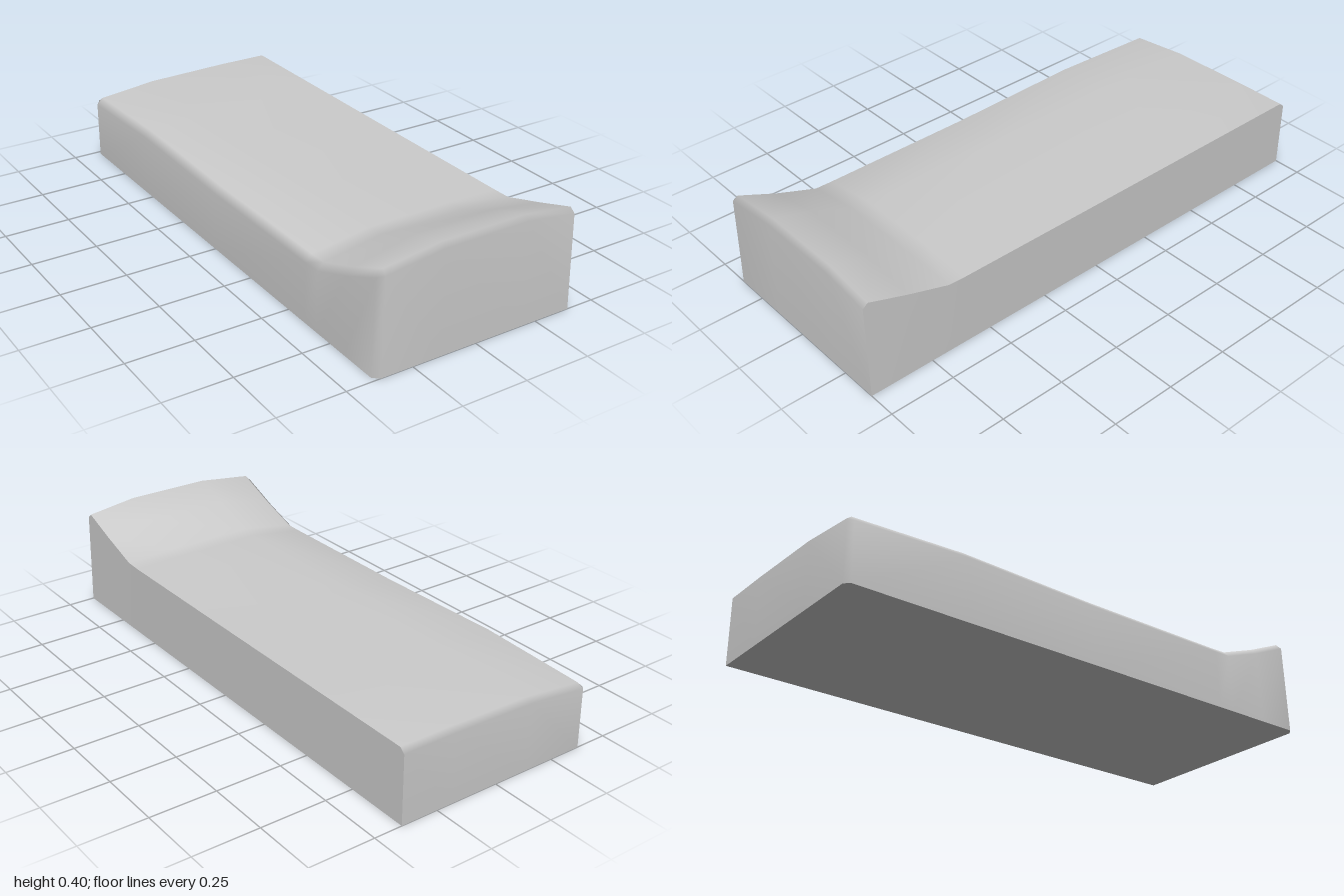
import * as THREE from 'three';
import { mergeVertices } from 'three/addons/utils/BufferGeometryUtils.js';

// Skin a grid of points (rows run front to back) with smooth, area-weighted normals.
function skin(rows) {
  const position = rows.flat(2);
  const n = rows[0].length;
  const index = [];
  for (let r = 0; r < rows.length - 1; r++) {
    for (let c = 0; c < n - 1; c++) {
      const a = r * n + c, b = a + 1, d = a + n, e = d + 1;
      index.push(a, b, d, b, e, d);
    }
  }
  const geometry = new THREE.BufferGeometry();
  geometry.setAttribute('position', new THREE.Float32BufferAttribute(position, 3));
  geometry.setIndex(index);
  const welded = mergeVertices(geometry, 1e-4);
  welded.computeVertexNormals();
  return welded;
}

const LEFT = 0.393, RIGHT = -0.395;

// Cross-sections: z, right and left top x, then heights at right edge, two inner lines, left edge.
const SECTIONS = [
  [0.98, -0.385, 0.385, 0.375, 0.403, 0.403, 0.377],
  [0.83, -0.388, 0.389, 0.310, 0.358, 0.357, 0.328],
  [0.67, -0.391, 0.392, 0.252, 0.288, 0.286, 0.280],
  [0.60, -0.392, 0.393, 0.250, 0.284, 0.283, 0.278],
  [0.00, -0.394, 0.393, 0.250, 0.275, 0.277, 0.277],
  [-0.55, -0.394, 0.393, 0.262, 0.274, 0.277, 0.277],
  [-0.98, -0.394, 0.393, 0.245, 0.270, 0.277, 0.277],
];

// Right wall, bevel and top of one section.
function section([z, xr, xl, h0, h1, h2, h3]) {
  return [
    [RIGHT, 0, z], [xr, h0 - 0.025, z], [xr + 0.025, h0, z],
    [-0.14, h1, z], [0.19, h2, z], [xl, h3, z],
  ];
}

// Upper and lower rim of an end face, with the bevelled corner folded in.
function endRows([, xr, xl, h0, h1, h2, h3], z, drop, inset) {
  const x = xr + inset;
  const foot = [RIGHT + inset, 0, z];
  const corner = [x, h0 - drop, z];
  return {
    rim: [foot, corner, corner, [-0.14, h1 - drop, z], [0.19, h2 - drop, z], [xl, h3 - drop, z]],
    base: [foot, foot, foot, [-0.14, 0, z], [0.19, 0, z], [LEFT, 0, z]],
  };
}

export function createModel() {
  const grey = new THREE.MeshStandardMaterial({ color: 0xcccccc });
  grey.name = 'light grey';
  const group = new THREE.Group();
  group.name = 'raisedEndBlock';

  const add = (name, rows) => {
    const mesh = new THREE.Mesh(skin(rows), grey);
    mesh.name = name;
    group.add(mesh);
  };

  const front = endRows(SECTIONS[0], 1, 0.016, 0.022);
  const back = endRows(SECTIONS[SECTIONS.length - 1], -1, 0.017, 0.018);
  const body = [front.rim, ...SECTIONS.map(section), back.rim];

  // Front, sloping top, back and right side share soft bevels.
  add('bevelledShell', [front.base, ...body, back.base]);

  // Sharp-edged left side.
  add('leftSide', body.map((row) => [row[5], [LEFT, 0, row[5][2]]]));

  // Flat underside.
  add('underside', body.map((row) => [[LEFT, 0, row[0][2]], row[0]]));

  return group;
}
